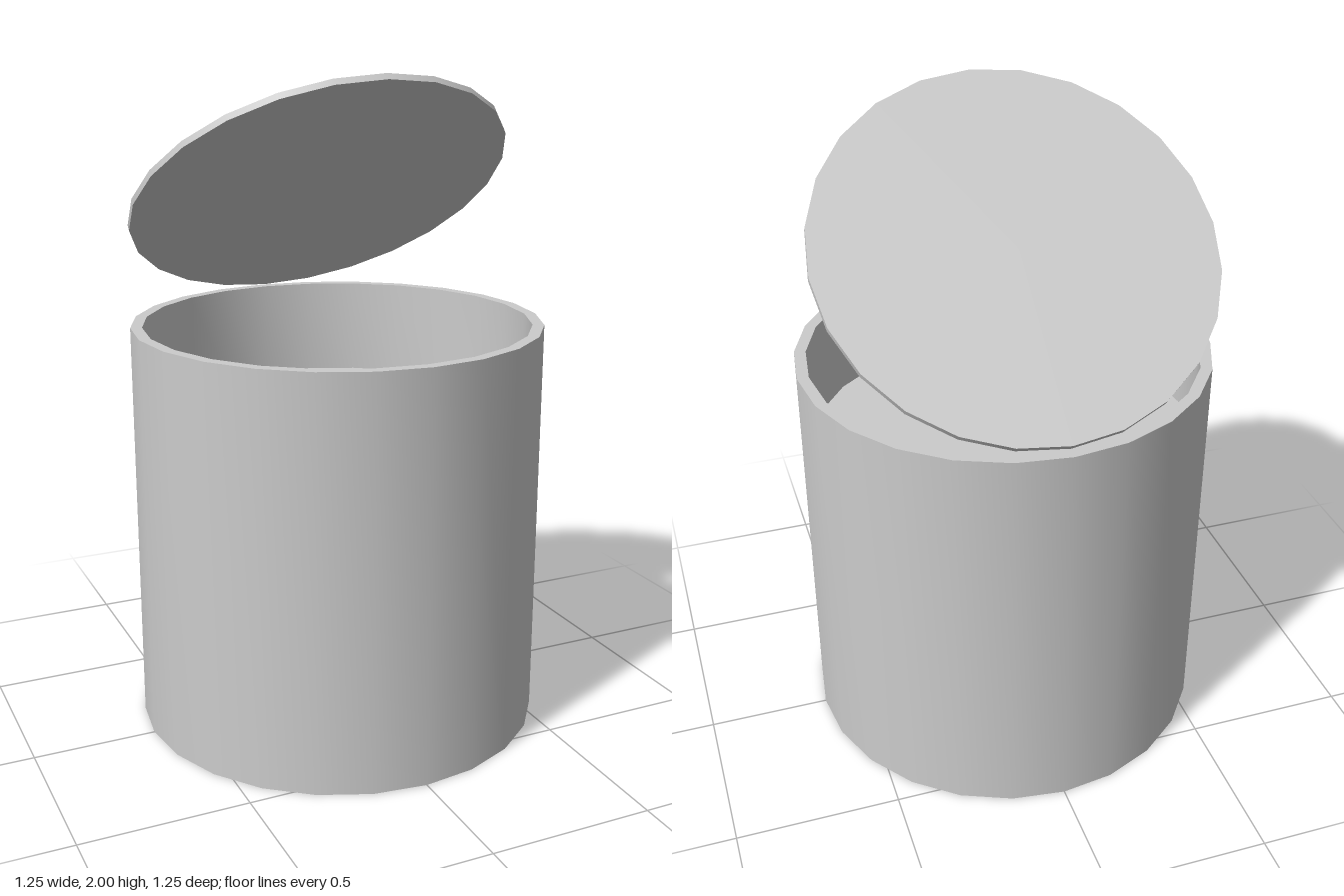
import * as THREE from 'three';
import { toCreasedNormals } from 'three/addons/utils/BufferGeometryUtils.js';

const SIDES = 24;
const OUTER = 0.625, INNER = 0.59, HEIGHT = 1.25, FILL = 0.95;
const LID_THICKNESS = 0.02, LID_TILT = 0.663;

export function createModel() {
  const group = new THREE.Group();
  const material = new THREE.MeshStandardMaterial({ color: 0xcccccc });

  const add = (name, geometry, y, z = 0, tilt = 0) => {
    const mesh = new THREE.Mesh(geometry, material);
    mesh.name = name;
    mesh.position.set(0, y, z);
    mesh.rotation.x = tilt;
    group.add(mesh);
  };

  // Can wall: outside, flat rim, then inside down to the contents
  const profile = [[OUTER, 0], [OUTER, HEIGHT], [INNER, HEIGHT], [INNER, FILL]]
    .map(([r, y]) => new THREE.Vector2(r, y));
  add('wall', toCreasedNormals(new THREE.LatheGeometry(profile, SIDES), 0.6), 0);

  // Closed bottom and the level surface of the contents
  add('bottom', new THREE.CircleGeometry(OUTER, SIDES), 0, 0, Math.PI / 2);
  add('contents', new THREE.CircleGeometry(INNER, SIDES), FILL, 0, -Math.PI / 2);

  // Thin lid, raised at the front and resting on the back of the rim
  add('lid', new THREE.CylinderGeometry(INNER, INNER, LID_THICKNESS, SIDES), 1.628, -0.135, -LID_TILT);

  return group;
}
